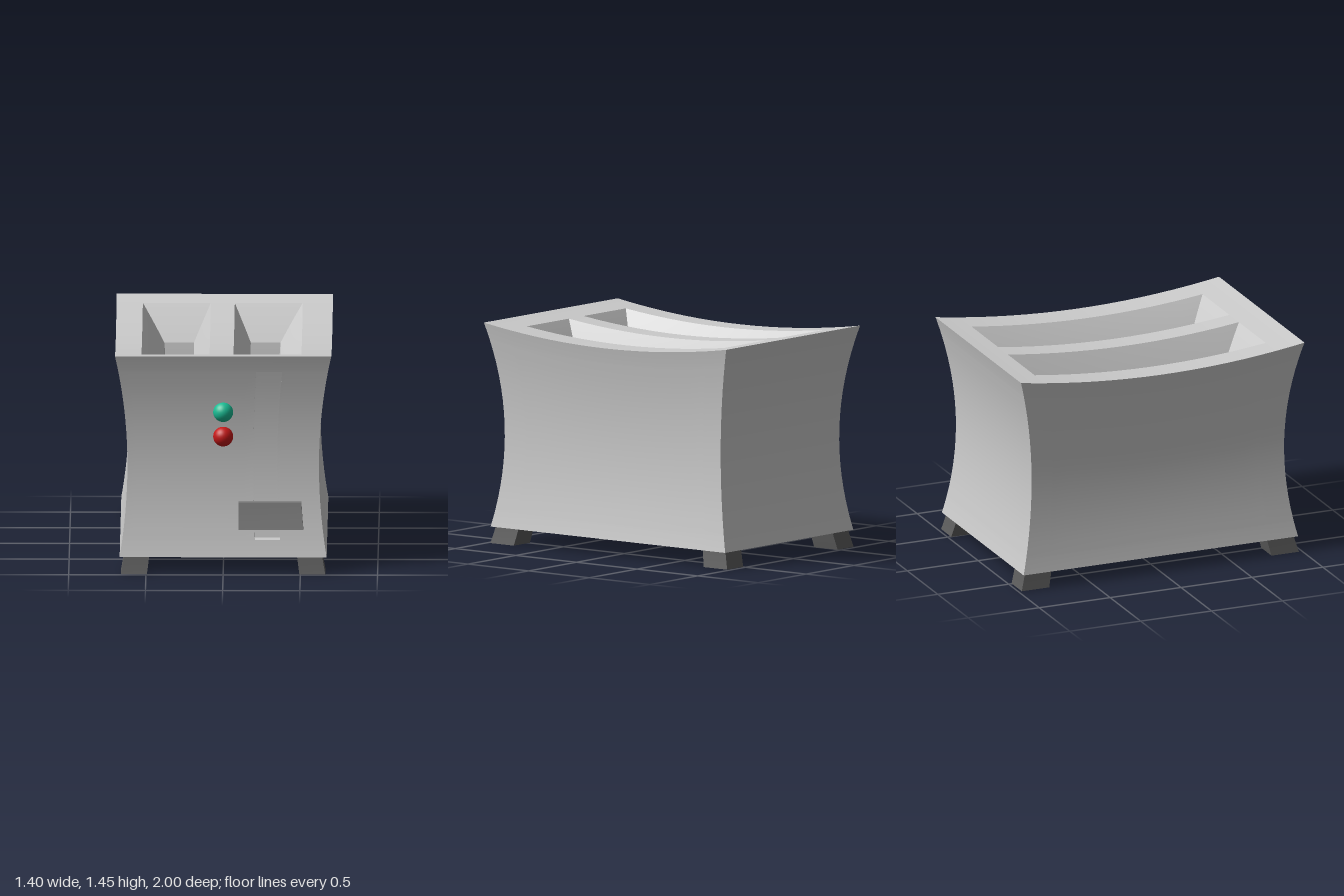
import * as THREE from 'three';
import { mergeGeometries, mergeVertices } from 'three/addons/utils/BufferGeometryUtils.js';

const BASE = 0.11, TOP = 1.445, HALF_X = 0.7, HALF_Z = 1;

// Pinches the waist of the straight-sided layout and sags its top
function bend(geometry) {
  const p = geometry.attributes.position;
  for (let i = 0; i < p.count; i++) {
    const x = p.getX(i), y = p.getY(i), z = p.getZ(i);
    const sx = (0.62 + 0.145 * (y - 0.7) ** 2) / HALF_X;
    const sz = 0.89 + 0.208 * (y - 0.72) ** 2;
    const weight = Math.max(0, (y - BASE) / (TOP - BASE));
    p.setXYZ(i, x * sx, y - 0.08 * (1 - z * z) * weight, z * sz);
  }
  geometry.computeVertexNormals();
  return geometry;
}

// Subdivided quad; corners run counter-clockwise seen from outside
function quad(a, b, c, d, n = 14) {
  const g = new THREE.PlaneGeometry(1, 1, n, n);
  const p = g.attributes.position;
  const lo = new THREE.Vector3(), hi = new THREE.Vector3();
  for (let i = 0; i < p.count; i++) {
    const u = p.getX(i) + 0.5, v = p.getY(i) + 0.5;
    lo.lerpVectors(a, b, u);
    hi.lerpVectors(d, c, u);
    lo.lerp(hi, v);
    p.setXYZ(i, lo.x, lo.y, lo.z);
  }
  g.deleteAttribute('uv');
  g.deleteAttribute('normal');
  return g;
}

// Panel cut into cells, leaving out the cells listed as openings
function panel(us, vs, place, openings = []) {
  const cells = [];
  for (let i = 0; i < us.length - 1; i++) {
    for (let j = 0; j < vs.length - 1; j++) {
      if (openings.includes(`${i},${j}`)) continue;
      cells.push(quad(place(us[i], vs[j]), place(us[i + 1], vs[j]),
        place(us[i + 1], vs[j + 1]), place(us[i], vs[j + 1])));
    }
  }
  return bend(mergeVertices(mergeGeometries(cells), 1e-4));
}

// Recess through rectangular rings [u0, u1, v0, v1, depth], closed by a floor
function recess(rings, place) {
  const loops = rings.map(([u0, u1, v0, v1, w]) =>
    [place(u0, v0, w), place(u1, v0, w), place(u1, v1, w), place(u0, v1, w)]);
  const parts = [];
  for (let k = 0; k < loops.length - 1; k++) {
    const A = loops[k], B = loops[k + 1];
    for (let i = 0; i < 4; i++) {
      const j = (i + 1) % 4;
      parts.push(bend(quad(A[i], A[j], B[j], B[i])));
    }
  }
  parts.push(bend(quad(...loops[loops.length - 1])));
  return mergeGeometries(parts);
}

function bentBox(x0, x1, y0, y1, z0, z1) {
  const g = new THREE.BoxGeometry(x1 - x0, y1 - y0, z1 - z0, 1, 4, 1);
  g.translate((x0 + x1) / 2, (y0 + y1) / 2, (z0 + z1) / 2);
  return bend(g);
}

export function createModel() {
  const model = new THREE.Group();
  const paint = (color) => new THREE.MeshStandardMaterial({ color });
  const shell = paint(0xcccccc), leverGrey = paint(0x838383), footGrey = paint(0x5c5c5c);
  const V = (x, y, z) => new THREE.Vector3(x, y, z);
  const add = (parent, name, geometry, material) => {
    const mesh = new THREE.Mesh(geometry, material);
    mesh.name = name;
    parent.add(mesh);
    return mesh;
  };

  // Layout of the openings
  const slotX = [[-0.53, -0.09], [0.065, 0.505]];
  const slotZ = [-0.83, 0.8];
  const grooveX = [0.22, 0.395], grooveY = [0.22, 1.335];
  const xs = [-HALF_X, HALF_X], zs = [-HALF_Z, ...slotZ, HALF_Z];
  const ys = [BASE, ...grooveY, TOP];
  const flipped = zs.map((z) => -z).reverse();

  // Body shell
  const body = new THREE.Group();
  body.name = 'body';
  model.add(body);
  add(body, 'frontPanel', panel([xs[0], ...grooveX, xs[1]], ys, (x, y) => V(x, y, HALF_Z), ['1,1']), shell);
  add(body, 'backPanel', panel(xs, ys, (u, y) => V(-u, y, -HALF_Z)), shell);
  add(body, 'leftPanel', panel(flipped, ys, (u, y) => V(HALF_X, y, -u)), shell);
  add(body, 'rightPanel', panel(zs, ys, (z, y) => V(-HALF_X, y, z)), shell);
  add(body, 'bottomPanel', panel(xs, zs, (x, z) => V(x, BASE, z)), shell);
  add(body, 'topPanel', panel([xs[0], ...slotX.flat(), xs[1]], flipped,
    (x, v) => V(x, TOP, -v), ['1,1', '3,1']), shell);

  // Bread slots: flared mouth above a straight shaft
  for (const [x0, x1] of slotX) {
    const inner = [x0 + 0.115, x1 - 0.12, -0.695, 0.727];
    add(body, 'breadSlot', recess([
      [x0, x1, -slotZ[1], -slotZ[0], TOP],
      [...inner, 1.22],
      [...inner, 0.35],
    ], (x, v, y) => V(x, y, -v)), shell);
  }

  // Lever track in the front
  add(body, 'leverTrack', recess([
    [...grooveX, ...grooveY, HALF_Z],
    [...grooveX, ...grooveY, HALF_Z - 0.09],
  ], (x, y, z) => V(x, y, z)), shell);

  // Lever with its stem in the track
  const lever = new THREE.Group();
  lever.name = 'lever';
  model.add(lever);
  add(lever, 'leverHandle', bentBox(0.11, 0.565, 0.295, 0.47, 0.995, 1.075), leverGrey);
  add(lever, 'leverStem', bentBox(0.26, 0.355, 0.34, 0.43, 0.9, 1.0), leverGrey);

  // Round buttons
  const ball = new THREE.SphereGeometry(0.065, 32, 20);
  add(model, 'greenButton', ball, paint(0x1abc94)).position.set(0, 1.06, 0.915);
  add(model, 'redButton', ball, paint(0xc41818)).position.set(0, 0.895, 0.898);

  // Splayed feet at the corners
  for (const x of [-0.585, 0.585]) {
    for (const z of [-0.882, 0.882]) {
      add(model, 'foot', bentBox(x - 0.085, x + 0.085, 0, BASE, z - 0.097, z + 0.097), footGrey);
    }
  }
  return model;
}
